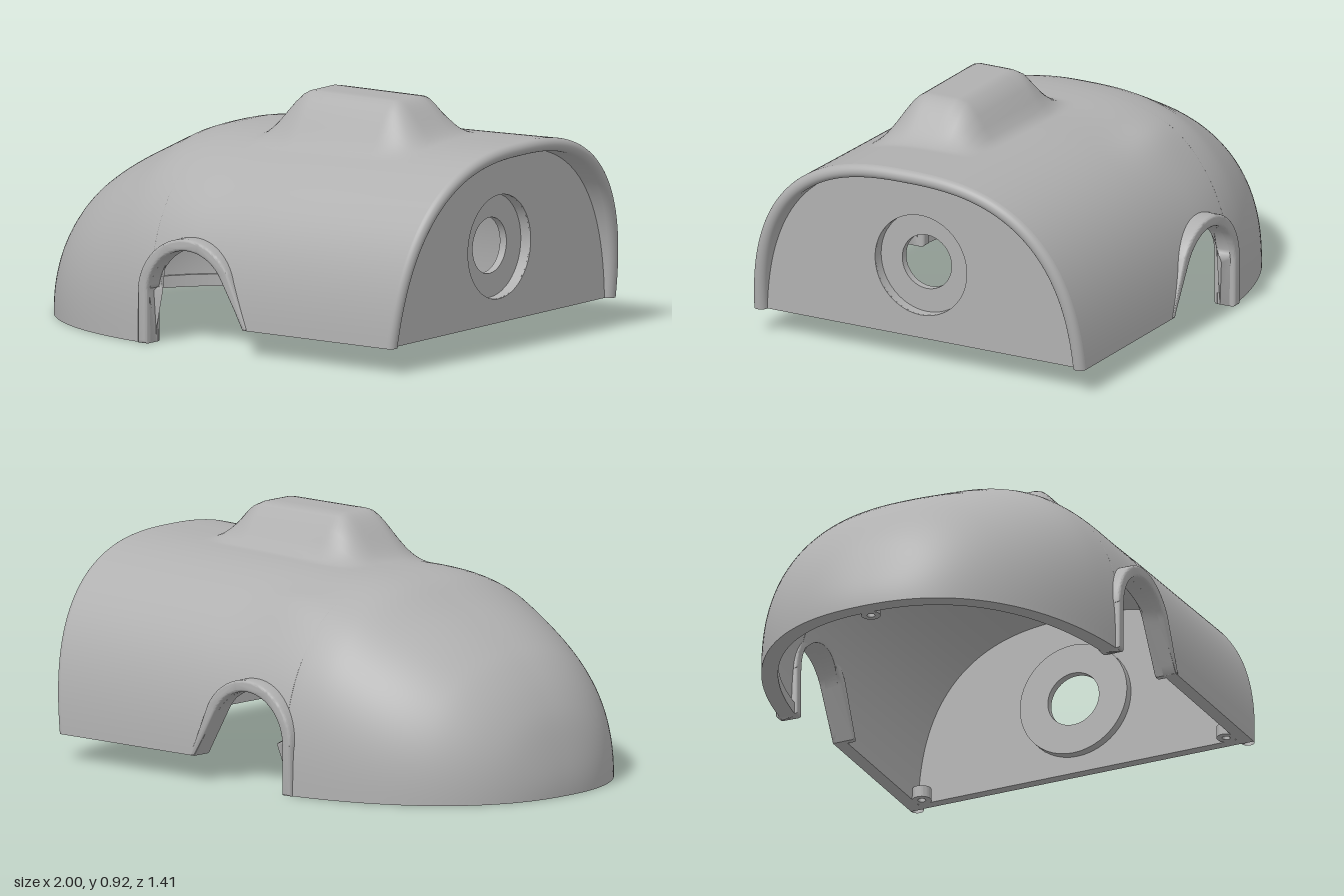
import * as THREE from 'three';
import { toCreasedNormals } from 'three/addons/utils/BufferGeometryUtils.js';

const WALL = 0.05, ROWS = 120;
const smooth = (a, b, v) => THREE.MathUtils.smoothstep(v, a, b);

// Crown height factor along the length: [x, factor]
const CROWN = [[-1, 0.5], [-0.95, 0.64], [-0.9, 0.68], [-0.8, 0.7], [-0.7, 0.7], [-0.6, 0.705], [-0.5, 0.717],
  [-0.42, 0.735], [-0.35, 0.752], [-0.25, 0.758], [0, 0.753], [0.3, 0.765], [0.7, 0.775], [1, 0.783]];

// Smooth (Hermite) interpolation through a list of points
function interpolate(pts, x) {
  let i = 0;
  while (i < pts.length - 2 && x > pts[i + 1][0]) i++;
  const slope = (k) => {
    const a = pts[Math.max(k - 1, 0)], b = pts[Math.min(k + 1, pts.length - 1)];
    return (b[1] - a[1]) / (b[0] - a[0]);
  };
  const h = pts[i + 1][0] - pts[i][0], t = (x - pts[i][0]) / h, t2 = t * t, t3 = t2 * t;
  return (2 * t3 - 3 * t2 + 1) * pts[i][1] + (t3 - 2 * t2 + t) * h * slope(i)
    + (3 * t2 - 2 * t3) * pts[i + 1][1] + (t3 - t2) * h * slope(i + 1);
}

// Lower edge of the shell, with the wheel arch cut out
function lowerEdge(x) {
  if (x < -0.2201) return 0;
  if (x < 0.116) return 0.185 + Math.sqrt(Math.max(0, 0.18 ** 2 - (x + 0.04) ** 2));
  return Math.max(0.095, 0.275 - (x - 0.116) * 1.732);
}

// One point of the outer skin: u runs nose to tail, v from left to right over the top
function skin(u, v) {
  const taper = u < 0 ? Math.pow(Math.max(0, 1 - Math.pow(-u, 2.3)), 0.435) : 1;
  const W = 0.705 * taper, H = interpolate(CROWN, u) * taper;
  const n = 2.25 + 0.35 * smooth(-1, -0.3, u);
  const start = H > 0 ? Math.asin(Math.pow(lowerEdge(u) / H, n / 2)) : 0;
  const a = start + (Math.PI - 2 * start) * v;
  const c = Math.cos(a);
  let y = H * Math.pow(Math.max(0, Math.sin(a)), 2 / n);
  const z = W * Math.sign(c) * Math.pow(Math.abs(c), 2 / n);
  // slanted tail
  const tail = 0.882 + 0.09 * (y - 0.095) / 0.665;
  const x = u < 0.5 ? u : 0.5 + (u - 0.5) * 2 * (tail - 0.5);
  // soft swelling and the raised scoop
  if (y > 0.4) {
    y += 0.022 * Math.exp(-(((x + 0.06) / 0.17) ** 2) - ((z + 0.46) / 0.09) ** 2);
    const mask = smooth(-0.06, 0.16, x) * (1 - smooth(0.53, 0.73, x))
      * smooth(-0.13, 0.02, z) * (1 - smooth(0.17, 0.35, z));
    y += (0.918 - y) * mask;
  }
  return new THREE.Vector3(x, y, z);
}

// Surface from a grid of points
function gridGeometry(grid, flip = false) {
  const cols = grid[0].length, index = [];
  for (let i = 0; i < grid.length - 1; i++) {
    for (let j = 0; j < cols - 1; j++) {
      const a = i * cols + j, b = a + cols, c = a + 1, d = b + 1;
      if (flip) index.push(a, c, b, b, c, d);
      else index.push(a, b, c, b, d, c);
    }
  }
  const g = new THREE.BufferGeometry().setFromPoints(grid.flat());
  g.setIndex(index);
  g.computeVertexNormals();
  return g;
}

export function createModel() {
  const model = new THREE.Group();
  const grey = new THREE.MeshStandardMaterial({ color: 0xb0b0b0, side: THREE.DoubleSide });
  grey.name = 'plain grey';
  const add = (name, geometry) => {
    const mesh = new THREE.Mesh(geometry, grey);
    mesh.name = name;
    model.add(mesh);
    return mesh;
  };

  // Stations along the body, closer together at the nose and arch front
  const stations = [];
  for (let k = 0; k <= 40; k++) stations.push(-1 + 0.7795 * (k / 40) ** 2);
  const frontEnd = stations.length;
  for (let k = 0; k <= 40; k++) stations.push(-0.22 + 0.44 * (k / 40) ** 1.6);
  for (let k = 1; k <= 60; k++) stations.push(0.22 + 0.78 * k / 60);

  // Outer skin
  const outer = stations.map((u) => Array.from({ length: ROWS + 1 }, (_, j) => skin(u, j / ROWS)));
  const outerGeometry = gridGeometry(outer);
  const normal = outerGeometry.attributes.normal;
  for (let j = 0; j <= ROWS; j++) normal.setXYZ(j, -1, 0, 0);
  add('outerShell', outerGeometry);

  // Inner skin, set in by the wall thickness
  const normals = outer.map((col, i) => col.map((p, j) => {
    const n = new THREE.Vector3().fromBufferAttribute(normal, i * (ROWS + 1) + j);
    if (j === 0 || j === ROWS) n.y = 0;
    return n.normalize();
  }));
  const inset = (i, j, d) => {
    const p = outer[i][j].clone().addScaledVector(normals[i][j], -d);
    p.y = Math.max(p.y, lowerEdge(stations[i]));
    return p;
  };
  const inner = outer.map((col, i) => col.map((p, j) => inset(i, j, WALL)));
  add('innerShell', gridGeometry(inner, true));

  // Flat lower edges joining the skins
  for (const j of [0, ROWS]) {
    add('lowerEdge', gridGeometry(outer.map((col, i) => [col[j], inner[i][j]]), j === 0));
  }

  // Rounded tail rim
  const last = outer.length - 1, rim = [];
  for (let k = 0; k <= 12; k++) {
    const a = Math.PI * k / 12, r = WALL / 2;
    rim.push(outer[last].map((p, j) => {
      const q = inset(last, j, r * (1 - Math.cos(a)));
      q.x += r * Math.sin(a);
      return q;
    }));
  }
  add('tailRim', gridGeometry(rim));

  // Ledge inside the front lower edge
  const ledge = [];
  for (const j of [0, ROWS]) {
    for (let k = 0; k < frontEnd; k++) {
      const i = j === 0 ? frontEnd - 1 - k : k;
      ledge.push([[WALL - 0.01, 0.045], [WALL + 0.012, 0.045], [WALL + 0.012, 0], [WALL - 0.01, 0]].map(([d, y]) => {
        const p = inset(i, j, d);
        p.y = y;
        return p;
      }));
    }
  }
  add('frontLedge', toCreasedNormals(gridGeometry(ledge, true).toNonIndexed(), 0.6));

  // Wheel arch lips
  const lip = new THREE.Shape();
  lip.moveTo(-0.262, 0);
  lip.lineTo(-0.262, 0.185);
  lip.absarc(-0.04, 0.185, 0.224, Math.PI, Math.PI / 6, true);
  lip.lineTo(0.242, 0.095);
  lip.lineTo(0.22, 0.095);
  lip.absarc(-0.04, 0.185, 0.18, Math.PI / 6, Math.PI, false);
  lip.lineTo(-0.22, 0);
  const lipGeometry = toCreasedNormals(new THREE.ExtrudeGeometry(lip, {
    depth: 0.07, curveSegments: 28, bevelThickness: 0.01, bevelSize: 0.01, bevelOffset: -0.01, bevelSegments: 3,
  }), 0.6);
  add('leftArchLip', lipGeometry).position.z = 0.627;
  add('rightArchLip', lipGeometry).position.z = -0.697;

  // Bulkhead with a round opening
  const plate = new THREE.Shape();
  const pn = 2.6, PW = 0.675, PH = 0.745, s = Math.asin(Math.pow(0.095 / PH, pn / 2));
  for (let k = 0; k <= 60; k++) {
    const a = s + (Math.PI - 2 * s) * k / 60, c = Math.cos(a);
    const x = PW * Math.sign(c) * Math.pow(Math.abs(c), 2 / pn), y = PH * Math.pow(Math.sin(a), 2 / pn);
    if (k) plate.lineTo(x, y);
    else plate.moveTo(x, y);
  }
  plate.holes.push(new THREE.Path().absarc(0, 0.38, 0.195, 0, Math.PI * 2, true));
  const bulkhead = add('bulkhead', new THREE.ExtrudeGeometry(plate, { depth: 0.04, bevelEnabled: false, curveSegments: 48 }));
  bulkhead.rotation.y = Math.PI / 2;
  bulkhead.position.x = 0.84;

  // Turned parts
  const turned = (points) => toCreasedNormals(
    new THREE.LatheGeometry(points.map(([r, y]) => new THREE.Vector2(r, y)), 48).toNonIndexed(), 0.6);

  // Recessed cup in the bulkhead
  const cup = add('recessedCup', turned([[0.105, 0.03], [0.105, 0], [0.22, 0], [0.22, 0.07],
    [0.195, 0.07], [0.195, 0.03], [0.105, 0.03]]));
  cup.rotation.z = -Math.PI / 2;
  cup.position.set(0.805, 0.38, 0);

  // Screw bosses
  const boss = turned([[0.015, 0.045], [0.015, 0], [0.036, 0], [0.036, 0.045], [0.015, 0.045]]);
  for (const [x, y, z] of [[-0.91, 0, 0], [0.81, 0.095, 0.625], [0.81, 0.095, -0.625]]) {
    add('screwBoss', boss).position.set(x, y, z);
  }
  return model;
}
